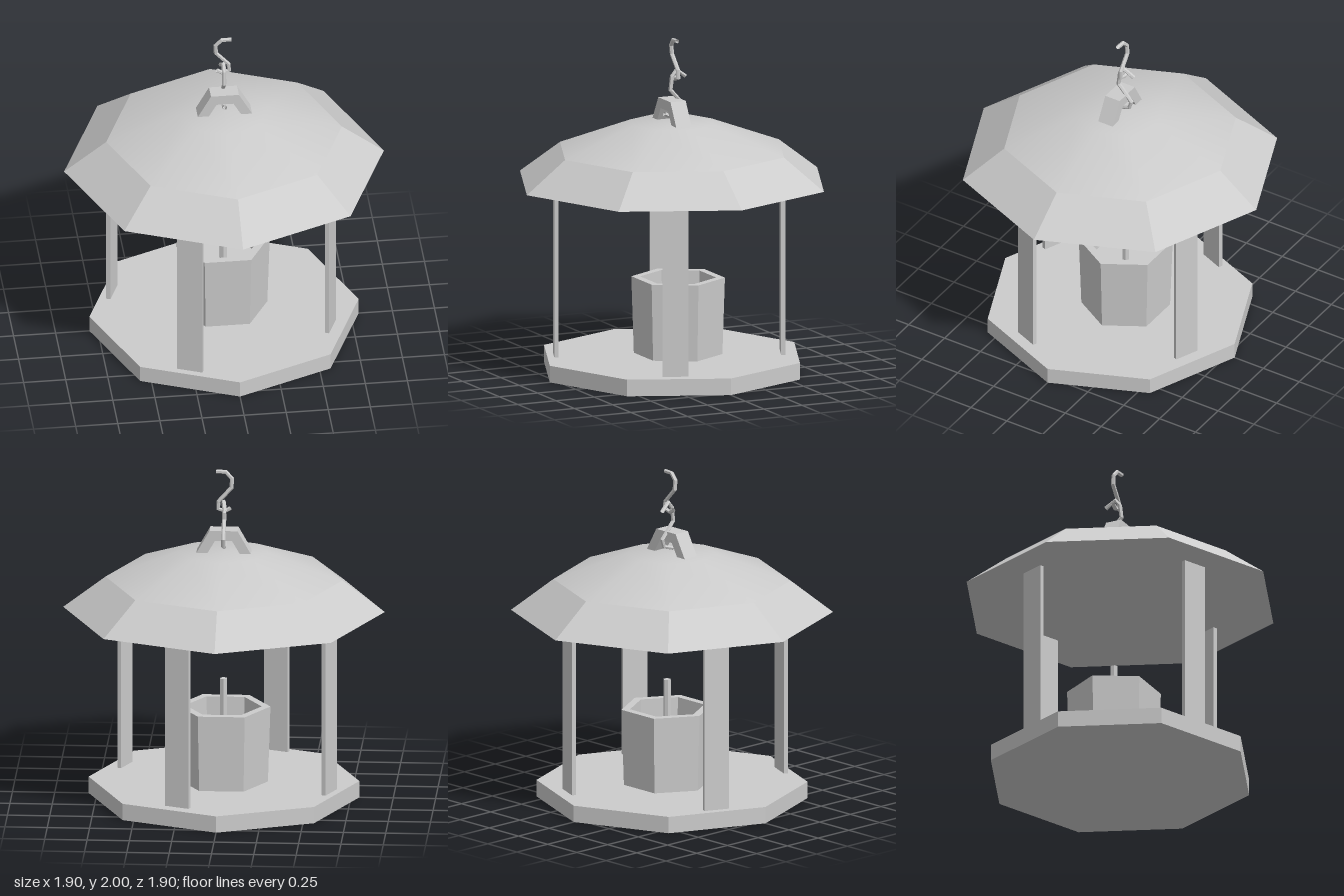
import * as THREE from 'three';

const flat = new THREE.MeshStandardMaterial({ color: 0xcccccc, flatShading: true });
const smooth = new THREE.MeshStandardMaterial({ color: 0xcccccc });
const wire = new THREE.MeshStandardMaterial({ color: 0xcccccc, flatShading: true, side: THREE.DoubleSide });

function part(name, geometry, material = flat) {
  const mesh = new THREE.Mesh(geometry, material);
  mesh.name = name;
  return mesh;
}

// Faceted solid of revolution from [radius, y] pairs, listed from the bottom up
function turned(profile, sides, start = 0) {
  return new THREE.LatheGeometry(profile.map(([r, y]) => new THREE.Vector2(r, y)), sides, start);
}

// Bent wire with one ring of vertices at each bend
function bentWire(points, radius) {
  const curve = new THREE.CatmullRomCurve3(points.map((p) => new THREE.Vector3(...p)));
  curve.getPointAt = curve.getPoint;
  curve.getTangentAt = curve.getTangent;
  return new THREE.TubeGeometry(curve, points.length - 1, radius, 6);
}

export function createModel() {
  const model = new THREE.Group();

  // Octagonal floor
  const base = part('base', new THREE.CylinderGeometry(0.8, 0.8, 0.1, 8));
  base.position.y = 0.05;
  model.add(base);

  // Four flat posts, each facing outward
  const posts = new THREE.Group();
  posts.name = 'posts';
  const postGeometry = new THREE.BoxGeometry(0.155, 1.04, 0.025);
  for (let i = 0; i < 4; i++) {
    const angle = -Math.PI / 8 + i * Math.PI / 2;
    const post = part('post', postGeometry);
    post.position.set(0.67 * Math.sin(angle) - 0.018, 0.62, 0.67 * Math.cos(angle) + 0.01);
    post.rotation.y = angle;
    posts.add(post);
  }
  model.add(posts);

  // Roof: faceted eaves with a flat underside, and a smooth crown
  model.add(part('roofEaves', turned([[0, 1.14], [0.95, 1.14], [0.7, 1.33]], 8)));
  model.add(part('roofCrown', turned([[0.7, 1.33], [0.26, 1.495], [0, 1.5]], 8), smooth));

  // Hexagonal seed cup with a recessed top, and the rod in its middle
  const cup = part('seedCup', turned(
    [[0, 0.1], [0.262, 0.1], [0.277, 0.56], [0.225, 0.56], [0.22, 0.43], [0, 0.43]], 6, Math.PI / 2));
  cup.position.z = -0.04;
  model.add(cup);
  const rod = part('rod', new THREE.CylinderGeometry(0.023, 0.023, 0.31, 6));
  rod.position.set(0, 0.575, -0.04);
  model.add(rod);

  // Arched bracket on top of the roof
  const arch = new THREE.Shape([
    [-0.165, 1.49], [-0.1, 1.49], [-0.05, 1.575], [0.05, 1.575],
    [0.1, 1.49], [0.165, 1.49], [0.083, 1.635], [-0.083, 1.635],
  ].map(([x, y]) => new THREE.Vector2(x, y)));
  const bracket = part('bracket', new THREE.ExtrudeGeometry(arch, { depth: 0.1, bevelEnabled: false }));
  bracket.position.z = -0.05;
  model.add(bracket);

  // Two linked S-hooks at right angles
  model.add(part('lowerHook', bentWire([
    [-0.01, 1.765, -0.09], [0, 1.81, -0.03], [0, 1.77, 0], [0, 1.69, 0.01],
    [0, 1.59, -0.08], [0, 1.545, -0.065], [0, 1.525, 0], [0, 1.55, 0.05],
  ], 0.013), wire));
  model.add(part('upperHook', bentWire([
    [0.045, 1.99, -0.012], [-0.012, 1.988, -0.014], [-0.048, 1.95, -0.018], [-0.046, 1.895, -0.022],
    [0.03, 1.81, -0.025], [0.033, 1.765, -0.025], [-0.01, 1.752, -0.025], [-0.04, 1.77, -0.025],
  ], 0.013), wire));

  return model;
}
